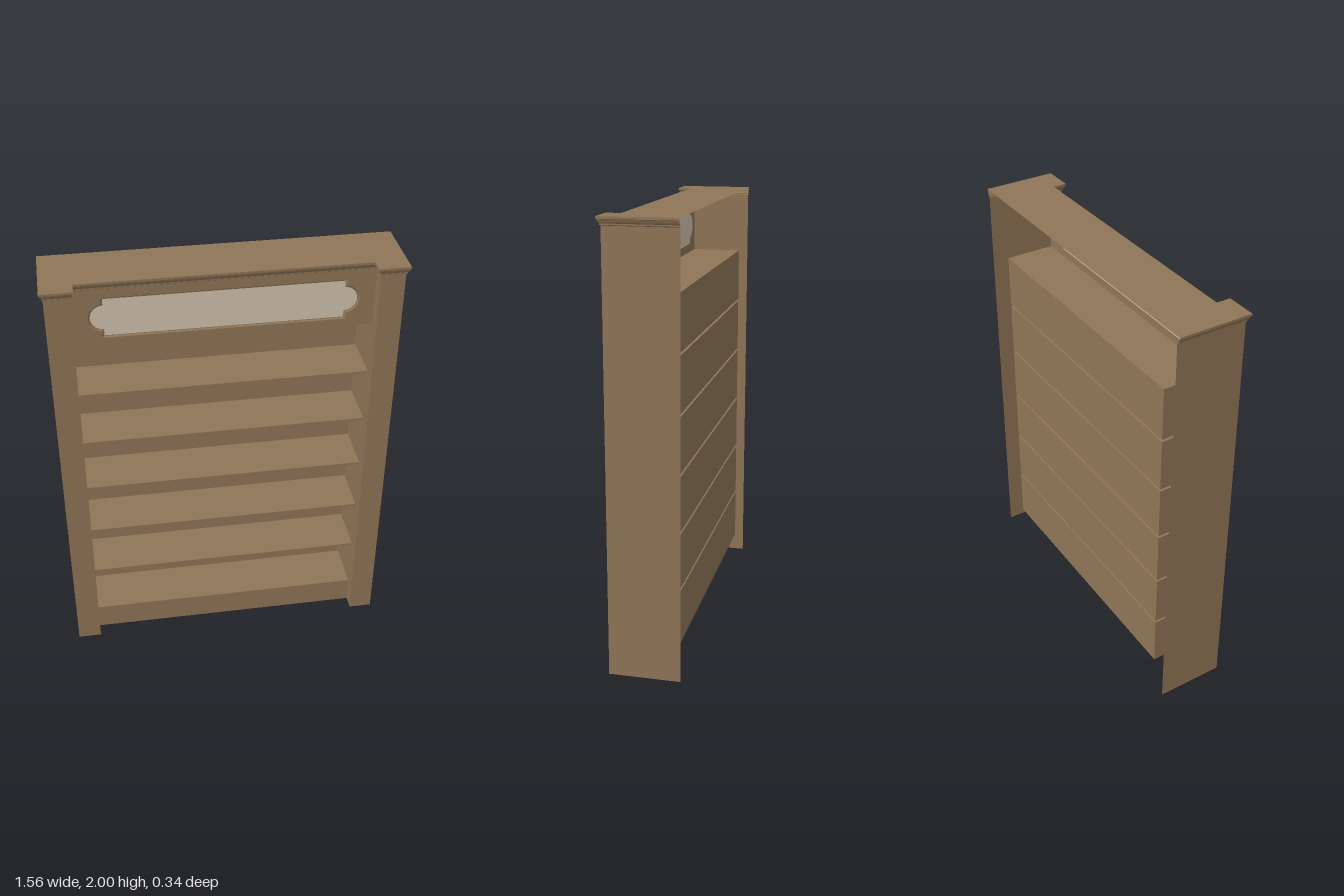
import * as THREE from 'three';

const W = 0.765, IN = 0.655;                    // outer side and inner post x
const BACK = -0.17, POST = 0.153, FACE = 0.088; // depths of back edge, posts, recessed face
const NICHE = -0.145, CROWN = 1.962;            // niche back, underside of crown
const SHELVES = [0.13, 0.39, 0.652, 0.915, 1.178, 1.44];
const HEADER = 1.69, THICK = 0.012;

const wood = new THREE.MeshStandardMaterial({ color: 0x8f7557, side: THREE.DoubleSide, flatShading: true });
const pane = new THREE.MeshStandardMaterial({ color: 0xd0c1ac, side: THREE.DoubleSide, flatShading: true });

// Skin between successive rows of [x, y, z] points
function loft(rows) {
  const n = rows[0].length, index = [];
  for (let r = 0; r < rows.length - 1; r++) {
    for (let i = 0; i < n - 1; i++) {
      const a = r * n + i, b = a + n;
      index.push(a, a + 1, b, a + 1, b + 1, b);
    }
  }
  const g = new THREE.BufferGeometry();
  g.setAttribute('position', new THREE.Float32BufferAttribute(rows.flat(2), 3));
  g.setIndex(index);
  const flat = g.toNonIndexed();
  flat.computeVertexNormals();
  return flat;
}

// Plan of the case front, grown outward by d, as [x, z] from left rear to right rear
function plan(d) {
  const half = [[W + d, BACK], [W + d, POST + d], [IN - d, POST + d], [IN - d, FACE + d]];
  return [...half.map(([x, z]) => [-x, z]), ...half.reverse()];
}

// Plaque outline with stepped corners and round ends, grown by d
function plaque(d) {
  const cx = 0.522, cy = 1.822, r = 0.057 + d, h = 0.088 + d, e = cx + d;
  const pts = [];
  for (const s of [1, -1]) {
    pts.push(new THREE.Vector2(s * e, cy - s * h));
    for (let i = 0; i <= 16; i++) {
      const a = -Math.PI / 2 + Math.PI * i / 16;
      const x = Math.max(cx + r * Math.cos(a), e);
      pts.push(new THREE.Vector2(s * x, cy + s * r * Math.sin(a)));
    }
    pts.push(new THREE.Vector2(s * e, cy + s * h));
  }
  return pts;
}

export function createModel() {
  const model = new THREE.Group();
  const add = (name, geometry, material = wood) => {
    const mesh = new THREE.Mesh(geometry, material);
    mesh.name = name;
    model.add(mesh);
    return mesh;
  };

  // Hollow posts: outer side, front and inner return
  const outline = plan(0);
  [['rightPost', outline.slice(0, 4)], ['leftPost', outline.slice(4)]].forEach(([name, path]) =>
    add(name, loft([0, CROWN].map(y => path.map(([x, z]) => [x, y, z])))));

  // Kickboard, shelves and niche backs folded from one sheet
  const profile = [[0, FACE]];
  SHELVES.forEach((y, i) => {
    const top = i < 5 ? SHELVES[i + 1] - THICK : HEADER;
    profile.push([y, FACE], [y, NICHE], [top, NICHE], [top, FACE]);
    // Niche end walls
    for (const s of [-1, 1]) {
      const wall = new THREE.PlaneGeometry(FACE - NICHE, top - y);
      wall.rotateY(-s * Math.PI / 2);
      wall.translate(s * IN, (y + top) / 2, (FACE + NICHE) / 2);
      add('nicheWall', wall);
    }
  });
  add('shelves', loft(profile.map(([y, z]) => [[-IN, y, z], [IN, y, z]])));

  // Header board with plaque opening
  const board = new THREE.Shape([[-IN, HEADER], [IN, HEADER], [IN, CROWN], [-IN, CROWN]]
    .map(p => new THREE.Vector2(...p)));
  board.holes.push(new THREE.Path(plaque(0.008)));
  add('header', new THREE.ShapeGeometry(board)).position.z = FACE;

  // Sloped plaque frame and pane
  const ring = (d, z) => {
    const pts = plaque(d).map(p => [p.x, p.y, z]);
    return [...pts, pts[0]];
  };
  add('plaqueFrame', loft([ring(0.008, FACE), ring(0.003, FACE - 0.006), ring(0, FACE - 0.006)]));
  add('plaquePane', new THREE.ShapeGeometry(new THREE.Shape(plaque(0))), pane).position.z = FACE - 0.006;

  // Crown moulding swept round the case front
  const moulding = [[0, CROWN], [0.004, 1.965], [0.004, 1.971], [0.007, 1.974], [0.01, 1.98],
    [0.013, 1.988], [0.016, 1.99], [0.016, 2]];
  add('crownMoulding', loft(moulding.map(([d, y]) => plan(d).map(([x, z]) => [x, y, z]))));

  // Top board
  const cap = new THREE.ShapeGeometry(new THREE.Shape(plan(0.016).map(([x, z]) => new THREE.Vector2(x, -z))));
  cap.rotateX(-Math.PI / 2);
  add('topBoard', cap).position.y = 2;

  return model;
}
